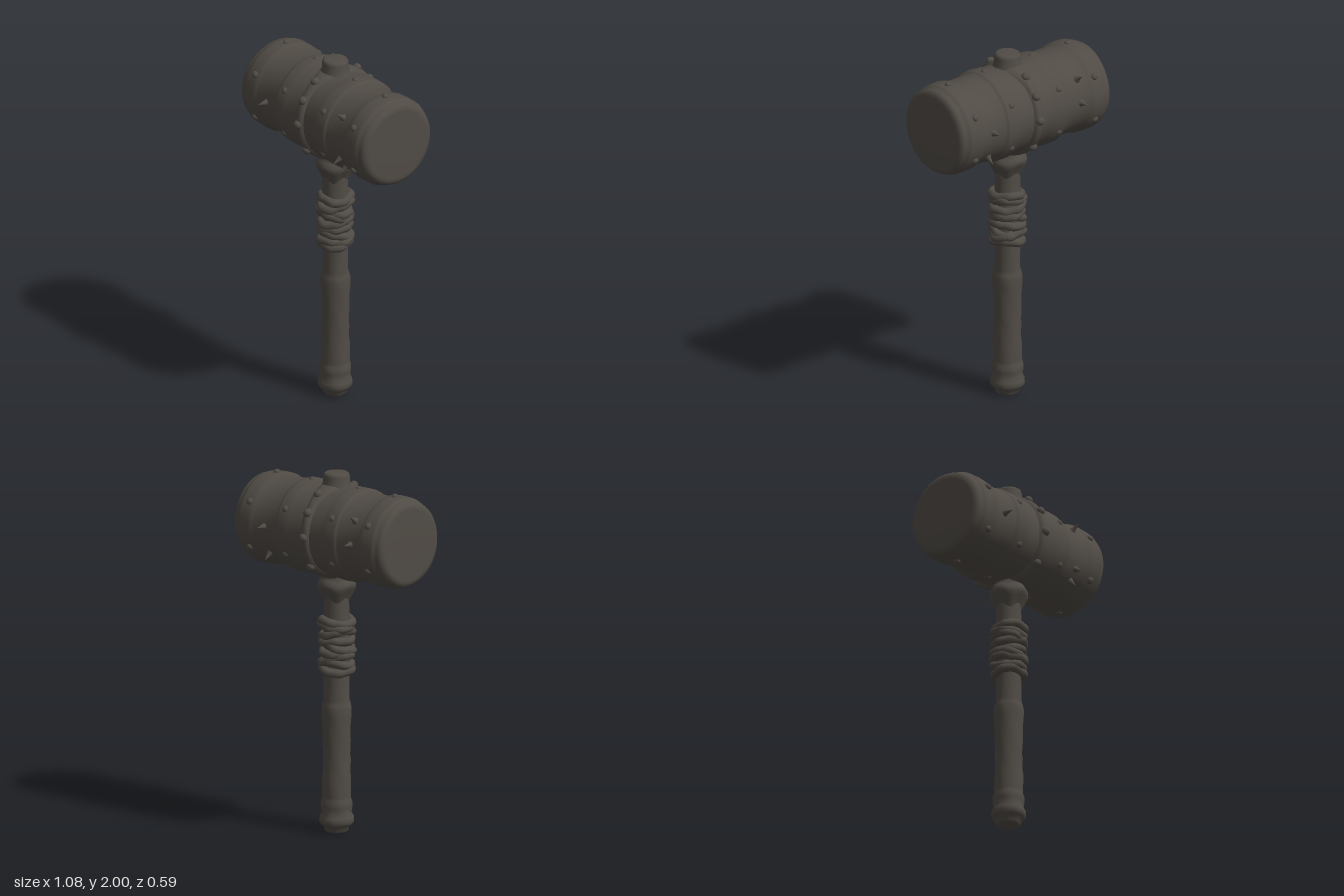
import * as THREE from 'three';
import { mergeVertices } from 'three/addons/utils/BufferGeometryUtils.js';

const HEAD_Y = 1.68, HEAD_Z = -0.005;

export function createModel() {
  const model = new THREE.Group();
  model.name = 'warHammer';
  const darkWood = new THREE.MeshStandardMaterial({ color: 0x504b45 });
  darkWood.name = 'darkWood';

  const add = (name, geometry, parent = model) => {
    const mesh = new THREE.Mesh(geometry, darkWood);
    mesh.name = name;
    parent.add(mesh);
    return mesh;
  };

  // moves every vertex by a rule, then welds seams and smooths the normals
  const sculpt = (geometry, rule) => {
    const p = geometry.attributes.position, v = new THREE.Vector3();
    for (let i = 0; i < p.count; i++) {
      rule(v.fromBufferAttribute(p, i));
      p.setXYZ(i, v.x, v.y, v.z);
    }
    geometry.deleteAttribute('uv');
    geometry.deleteAttribute('normal');
    const welded = mergeVertices(geometry, 1e-5);
    welded.computeVertexNormals();
    return welded;
  };
  const turned = (points, amount, segments = 64) => sculpt(
    new THREE.LatheGeometry(points.map(([r, y]) => new THREE.Vector2(r, y)), segments),
    v => {
      const a = Math.atan2(v.z, v.x);
      const k = 1 + amount * (Math.sin(3 * a + v.y * 17) + 0.7 * Math.sin(5 * a - v.y * 29));
      v.x *= k; v.z *= k;
    });

  // hammer head: half profile of radius and distance from the middle, mirrored
  const head = new THREE.Group();
  head.name = 'head';
  head.position.set(0, HEAD_Y, HEAD_Z);
  model.add(head);
  const half = [
    [0.249, 0.05], [0.249, 0.115], [0.255, 0.125], [0.257, 0.16], [0.256, 0.205], [0.252, 0.217],
    [0.241, 0.225], [0.239, 0.3], [0.239, 0.38], [0.251, 0.388], [0.253, 0.42], [0.252, 0.475],
    [0.247, 0.49], [0.239, 0.495], [0.238, 0.515], [0.23, 0.53], [0.212, 0.539], [0.195, 0.54],
    [0.1, 0.541], [0, 0.541],
  ];
  const profile = [...half.map(([r, y]) => [r, -y]).reverse(), ...half];
  add('barrel', turned(profile, 0.005, 96), head).rotation.z = Math.PI / 2;

  // raised strap around the middle, flaring where the handle passes through
  const shape = [0, 0.75, 0.95, 1, 0.95, 0.75, 0];
  add('middleStrap', sculpt(new THREE.PlaneGeometry(2 * Math.PI, 6, 96, 6), v => {
    const a = v.x, s = Math.round(v.y);
    const near = Math.max(0, Math.abs(Math.cos(a)) - 0.6) / 0.4;
    const w = 0.033 + 0.045 * near * near;
    const r = 0.242 + 0.026 * shape[s + 3];
    v.set(w * s / 3, r * Math.cos(a), r * Math.sin(a));
  }), head);

  // studs and spikes stand out from the head at an angle measured from the top
  const stand = (mesh, x, angle, r) => {
    mesh.position.set(x, r * Math.cos(angle), r * Math.sin(angle));
    mesh.rotation.x = angle;
  };
  const stud = new THREE.SphereGeometry(0.02, 12, 8);
  for (const x of [-0.43, -0.17, 0.17, 0.43]) {
    for (let i = 0; i < 6; i++) {
      const m = add('bandStud', stud, head);
      stand(m, x, i * Math.PI / 3, 0.252);
      m.scale.y = 0.8;
    }
  }
  for (const deg of [33, 60, 90, 130, 230, 270, 300, 327]) {
    const m = add('strapStud', stud, head);
    stand(m, 0, deg * Math.PI / 180, 0.265);
    m.scale.set(1.25, 1.15, 1.25);
  }
  const spike = new THREE.LatheGeometry(
    [[0.024, 0], [0.015, 0.012], [0.009, 0.03], [0, 0.06]].map(p => new THREE.Vector2(...p)), 10);
  for (const [x, deg] of [[-0.31, 88], [0.31, 55], [0.31, 115], [0.31, 132],
    [-0.32, 272], [0.31, 272], [-0.32, 304], [0.31, 232]]) {
    const m = add('spike', spike, head);
    stand(m, x, deg * Math.PI / 180, 0.234);
  }

  // handle with a rounded pommel
  add('handle', turned([
    [0, 0], [0.055, 0.002], [0.066, 0.012], [0.068, 0.032], [0.085, 0.042], [0.095, 0.06],
    [0.093, 0.085], [0.08, 0.11], [0.086, 0.14], [0.086, 0.165], [0.08, 0.185], [0.078, 0.2],
    [0.079, 0.3], [0.073, 0.345], [0.077, 0.4], [0.073, 0.43], [0.077, 0.5], [0.076, 0.58],
    [0.081, 0.64], [0.082, 0.69], [0.077, 0.715], [0.07, 0.735], [0.069, 0.88], [0.072, 1.0],
    [0.07, 1.2], [0.068, 1.3], [0.07, 1.5],
  ], 0.012));

  // collar flaring under the head, with a scalloped lower edge
  add('collar', sculpt(new THREE.LatheGeometry([
    [0.066, 1.29], [0.08, 1.32], [0.094, 1.345], [0.104, 1.365], [0.106, 1.385],
    [0.095, 1.405], [0.082, 1.425], [0.085, 1.46],
  ].map(p => new THREE.Vector2(...p)), 64), v => {
    const a = Math.atan2(v.z, v.x);
    v.y += 0.014 * Math.cos(4 * a) * (1.46 - v.y) / 0.17;
  }));

  // end of the handle showing above the head
  add('topPeg', new THREE.LatheGeometry([
    [0.085, 1.9], [0.081, 1.93], [0.073, 1.945], [0.072, 1.98], [0.068, 1.993],
    [0.058, 2.0], [0, 2.0],
  ].map(p => new THREE.Vector2(...p)), 40));

  // cord wound around the grip in uneven turns
  const wrap = new THREE.Group();
  wrap.name = 'gripWrap';
  model.add(wrap);
  for (let i = 0; i < 9; i++) {
    const ring = add('cordTurn', sculpt(new THREE.TorusGeometry(0.079, 0.024, 10, 48), v => {
      const a = Math.atan2(v.y, v.x);
      const k = 1 + 0.05 * Math.sin(3 * a + i * 2.3) + 0.03 * Math.sin(7 * a + i);
      v.x *= k; v.y *= k;
      v.z += 0.008 * Math.sin(2 * a + i * 1.7);
    }), wrap);
    ring.position.y = 0.905 + i * 0.0335;
    const inner = i > 0 && i < 8;
    ring.rotation.set(Math.PI / 2 + (inner ? 0.18 * Math.sin(i * 2.1) : 0),
      inner ? 0.2 * Math.cos(i * 1.6) : 0.05, 0);
  }
  return model;
}
